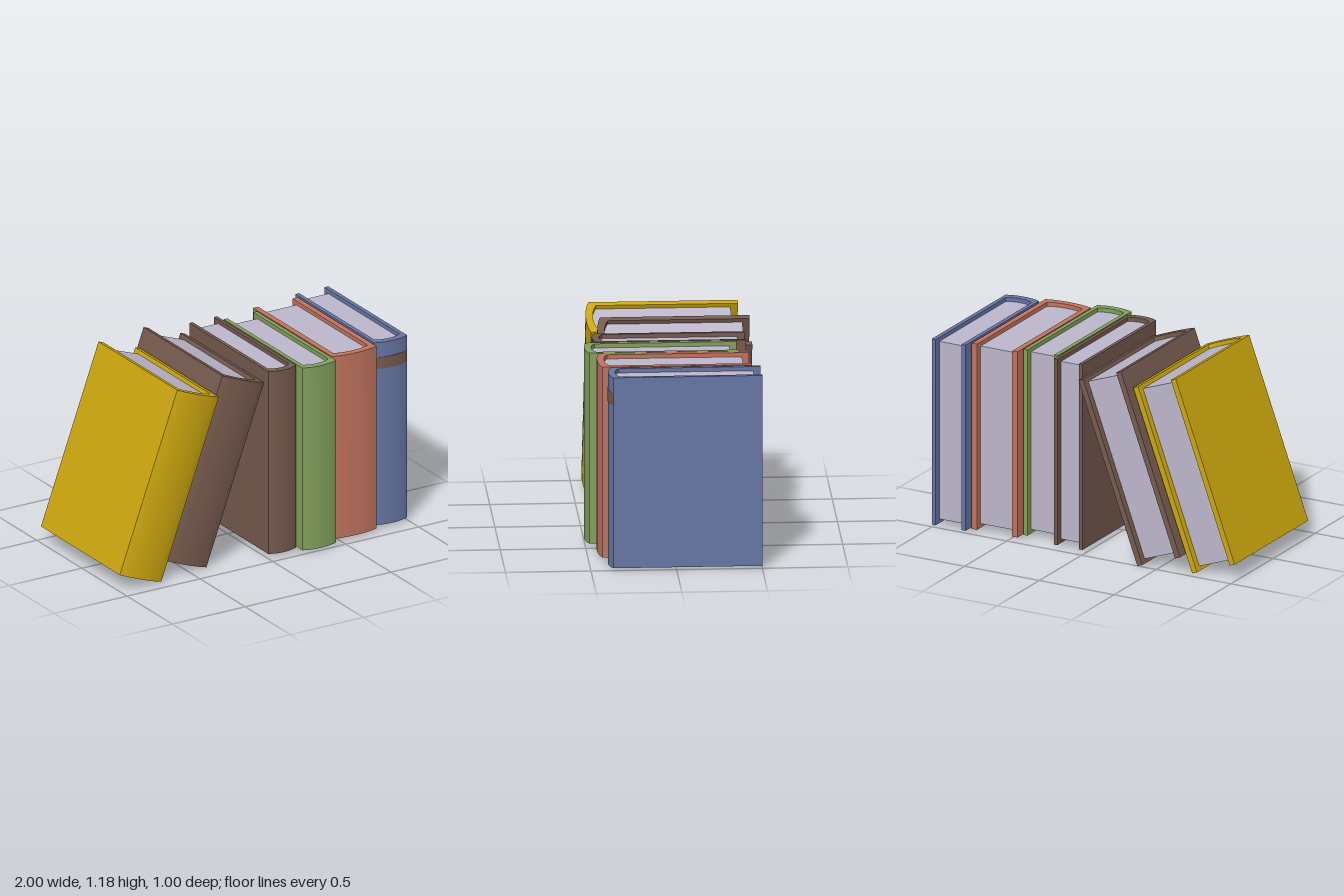
import * as THREE from 'three';
import { toCreasedNormals } from 'three/addons/utils/BufferGeometryUtils.js';

const HEIGHT = 1.15;   // cover height
const BULGE = 0.024;   // how far the rounded spine swells
const DEPTH = 0.896;   // fore edge to spine
const LEAN = 0.35;     // tilt of the leaning books

function material(name, color) {
  const m = new THREE.MeshStandardMaterial({ color });
  m.name = name;
  return m;
}

// Plan outlines are drawn with shape y = -z, so the spine lies at negative y.
function spineCurve(shape, fromX, edge, bulge = BULGE) {
  const c = edge - bulge * 4 / 3;
  shape.bezierCurveTo(fromX * 0.5, c, -fromX * 0.5, c, -fromX, edge);
}

function extrudeUp(shape, bottom, top) {
  const g = new THREE.ExtrudeGeometry(shape, { depth: top - bottom, bevelEnabled: false, curveSegments: 10 });
  g.rotateX(-Math.PI / 2);
  g.translate(0, bottom, 0);
  return toCreasedNormals(g, 0.5);
}

function mesh(name, geometry, mat) {
  const m = new THREE.Mesh(geometry, mat);
  m.name = name;
  return m;
}

function makeBook(name, width, cover, paper) {
  const book = new THREE.Group();
  book.name = name;
  const h = width / 2;
  const inner = h - width * 0.115;
  const edge = -(DEPTH / 2 - BULGE);
  const innerEdge = edge + 0.042;
  const back = DEPTH / 2;

  // U-shaped cover: two boards joined by the rounded spine
  const u = new THREE.Shape();
  u.moveTo(-h, back);
  u.lineTo(-h, edge);
  spineCurve(u, -h, edge);
  u.lineTo(h, back);
  u.lineTo(inner, back);
  u.lineTo(inner, innerEdge);
  spineCurve(u, inner, innerEdge);
  u.lineTo(-inner, back);
  u.closePath();
  book.add(mesh('cover', extrudeUp(u, 0, HEIGHT), cover));

  // Page block, set in from the cover at top, bottom and fore edge
  const p = new THREE.Shape();
  p.moveTo(-inner, back - 0.043);
  p.lineTo(-inner, innerEdge);
  spineCurve(p, -inner, innerEdge);
  p.lineTo(inner, back - 0.043);
  p.closePath();
  book.add(mesh('pages', extrudeUp(p, 0.025, HEIGHT - 0.025), paper));
  return book;
}

// Thin band that follows the spine
function makeBand(width, mat) {
  const h = width / 2;
  const edge = -(DEPTH / 2 - BULGE);
  const s = new THREE.Shape();
  s.moveTo(-h, edge);
  spineCurve(s, -h, edge, BULGE + 0.004);
  spineCurve(s, h, edge, BULGE - 0.002);
  return mesh('spineBand', extrudeUp(s, 0.985, 1.057), mat);
}

export function createModel() {
  const model = new THREE.Group();
  model.name = 'bookRow';
  const paper = material('paper', 0xbbb6ca);
  const yellow = material('yellowCover', 0xcba60e);
  const brown = material('brownCover', 0x755a4e);
  const green = material('greenCover', 0x82a05c);
  const red = material('redCover', 0xc0735d);
  const blue = material('blueCover', 0x6676a3);

  // name, cover, width, centre x, spine front z, leaning
  const books = [
    ['yellowLeaningBook', yellow, 0.303, -0.857, 0.442, true],
    ['brownLeaningBook', brown, 0.303, -0.518, 0.394, true],
    ['brownBook', brown, 0.19, 0.114, 0.442, false],
    ['greenBook', green, 0.23, 0.332, 0.5, false],
    ['redBook', red, 0.306, 0.607, 0.442, false],
    ['blueBook', blue, 0.225, 0.8875, 0.394, false],
  ];
  for (const [name, cover, width, x, front, leaning] of books) {
    const book = makeBook(name, width, cover, paper);
    book.position.set(x, leaning ? Math.sin(LEAN) * width / 2 : 0.015, front - DEPTH / 2);
    if (leaning) book.rotation.z = -LEAN;
    if (cover === blue) book.add(makeBand(width, brown));
    model.add(book);
  }
  return model;
}
